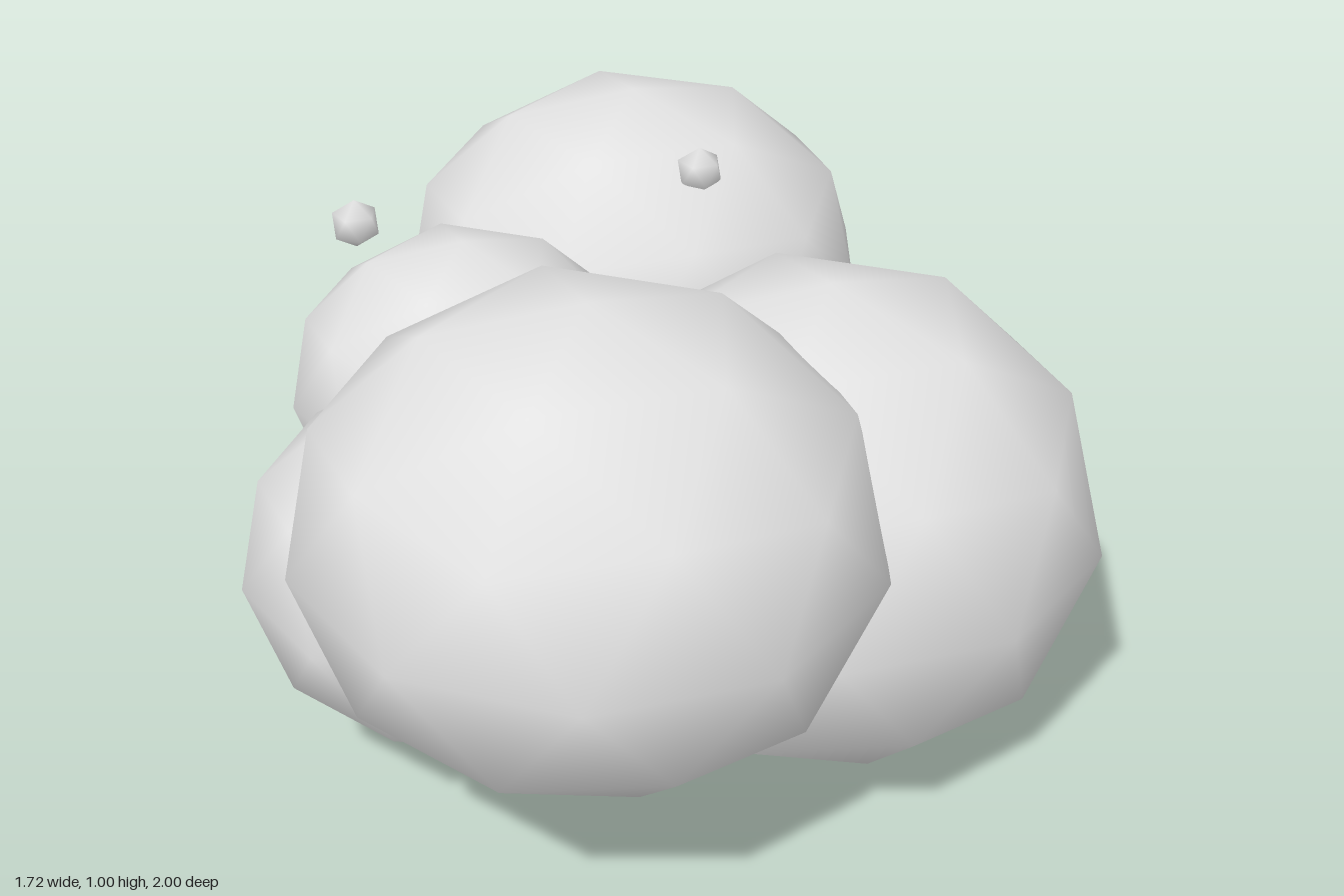
import * as THREE from 'three';

export function createModel() {
  const model = new THREE.Group();
  const grey = new THREE.MeshStandardMaterial({ color: 0xe2e2e2 });
  grey.name = 'pale grey';

  // Coarse triangle ball with a corner at each pole and smooth normals
  const poleTilt = -Math.atan2(2, 1 + Math.sqrt(5));
  function ball(detail) {
    const shape = new THREE.IcosahedronGeometry(1, detail).rotateZ(poleTilt);
    shape.setAttribute('normal', shape.attributes.position.clone());
    return shape;
  }
  const lobeShape = ball(1);
  const pebbleShape = ball(0);

  function blob(name, shape, position, radii) {
    const mesh = new THREE.Mesh(shape, grey);
    mesh.name = name;
    mesh.position.set(...position);
    mesh.scale.set(...radii);
    model.add(mesh);
  }

  // Large flattened lobes
  blob('backLobe', lobeShape, [-0.415, 0.455, -0.52], [0.47, 0.38, 0.48]);
  blob('frontLobe', lobeShape, [0.27, 0.597, 0.515], [0.487, 0.402, 0.482]);
  blob('sideLobe', lobeShape, [0.4, 0.437, 0.03], [0.485, 0.435, 0.485]);

  // Smaller lobes filling the cluster
  blob('upperLobe', lobeShape, [-0.28, 0.52, 0.167], [0.325, 0.285, 0.32]);
  blob('lowerLobe', lobeShape, [-0.05, 0.393, 0.46], [0.385, 0.315, 0.375]);
  blob('coreLobe', lobeShape, [0.08, 0.385, 0.2], [0.35, 0.295, 0.35]);

  // Two tiny pebbles
  blob('backPebble', pebbleShape, [-0.18, 0.757, -0.418], [0.047, 0.047, 0.047]);
  blob('sidePebble', pebbleShape, [-0.56, 0.752, 0.145], [0.047, 0.047, 0.047]);

  return model;
}
